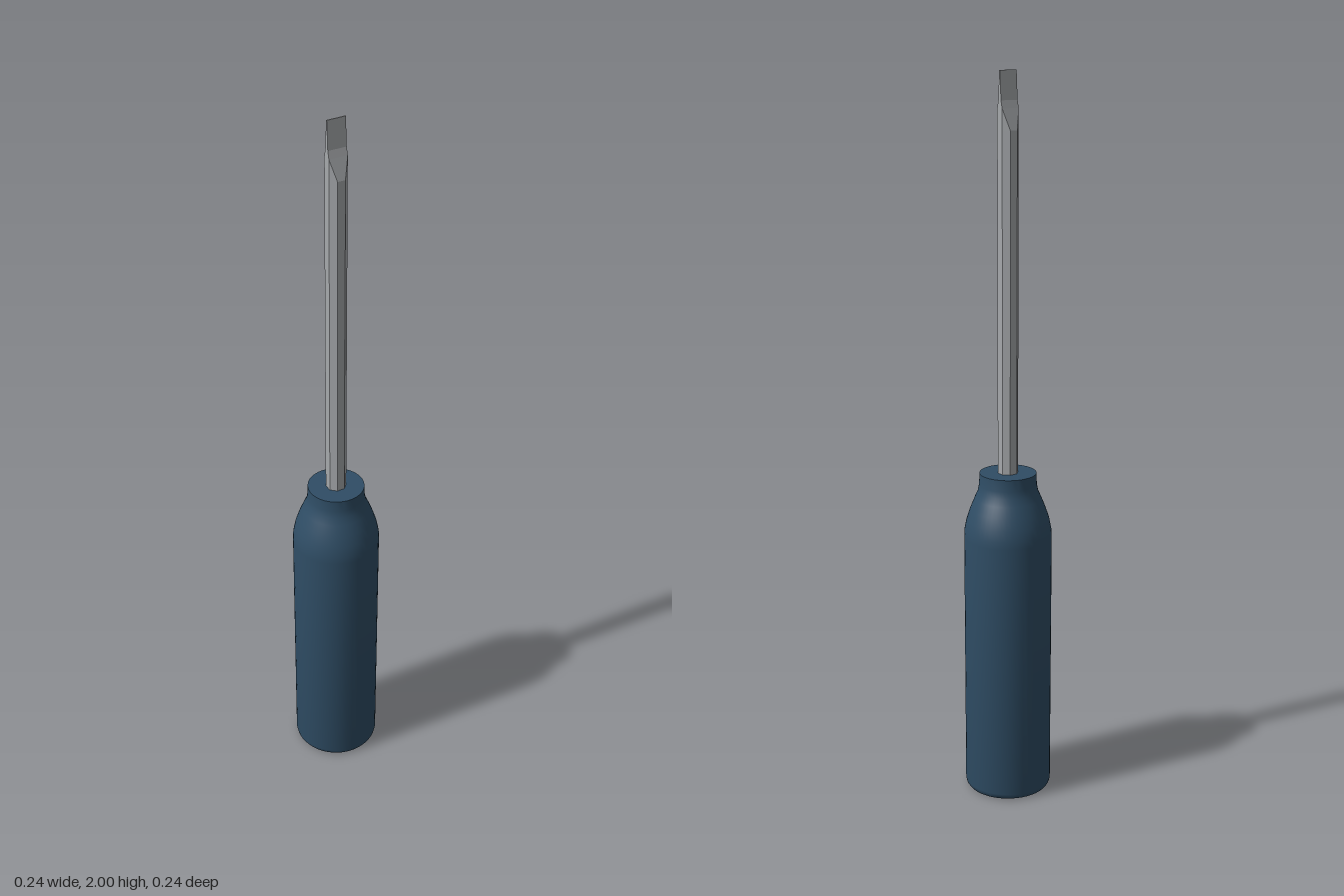
import * as THREE from 'three';
import { toCreasedNormals } from 'three/addons/utils/BufferGeometryUtils.js';

const R = 0.026;  // half width of the octagonal shaft
const C = 0.011;  // half length of one octagon side

// Octagon whose depth is cut to +-limit, listed anticlockwise seen from above
function section(y, limit) {
  const a = Math.min(C, limit);
  const b = Math.min(R, limit);
  const bx = R - Math.max(0, b - C);
  return [[R, a], [R, -a], [bx, -b], [-bx, -b], [-R, -a], [-R, a], [-bx, b], [bx, b]]
    .map(([x, z]) => [x, y, z]);
}

// Skin a stack of sections with flat facets and close both ends
function loft(sections) {
  const n = sections[0].length;
  const index = [];
  for (let s = 0; s < sections.length - 1; s++) {
    for (let i = 0; i < n; i++) {
      const a = s * n + i, b = s * n + (i + 1) % n;
      index.push(a, b, b + n, a, b + n, a + n);
    }
  }
  const top = (sections.length - 1) * n;
  for (let i = 1; i < n - 1; i++) {
    index.push(0, i + 1, i, top, top + i, top + i + 1);
  }
  const g = new THREE.BufferGeometry();
  g.setAttribute('position', new THREE.Float32BufferAttribute(sections.flat(2), 3));
  g.setIndex(index);
  const flat = g.toNonIndexed();
  flat.computeVertexNormals();
  return flat;
}

export function createModel() {
  const group = new THREE.Group();
  const handleBlue = new THREE.MeshStandardMaterial({ color: 0x2f4d65 });
  const steel = new THREE.MeshStandardMaterial({ color: 0xa6a9ac });

  const add = (name, geometry, material) => {
    const mesh = new THREE.Mesh(geometry, material);
    mesh.name = name;
    group.add(mesh);
  };

  // Handle: rounded foot, straight grip, curved shoulder, short collar
  const profile = [
    [0, 0], [0.108, 0], [0.115, 0.003], [0.119, 0.009], [0.121, 0.018],
    [0.121, 0.75], [0.12, 0.77], [0.114, 0.8], [0.104, 0.83], [0.092, 0.86],
    [0.083, 0.88], [0.079, 0.9], [0.078, 0.932], [0, 0.932],
  ].map(([r, y]) => new THREE.Vector2(r, y));
  add('handle', toCreasedNormals(new THREE.LatheGeometry(profile, 48), 0.7), handleBlue);

  // Octagonal shaft
  add('shaft', loft([section(0.9, R), section(1.85, R)]), steel);

  // Flat blade, ground down to a thin edge
  add('blade', loft([
    section(1.85, R), section(1.905, C), section(1.925, 0.006), section(2, 0.0015),
  ]), steel);

  return group;
}
